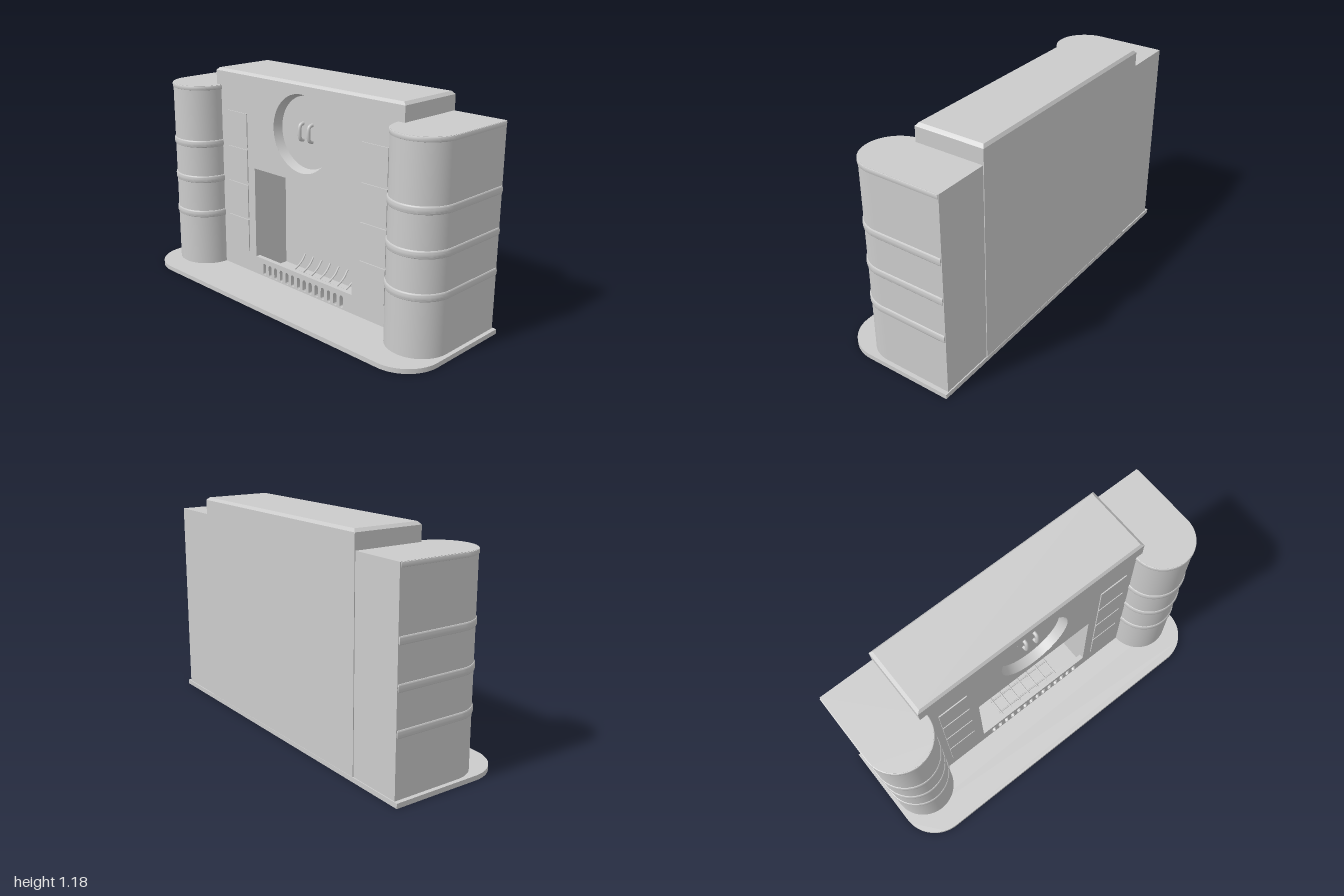
import * as THREE from 'three';
import { toCreasedNormals } from 'three/addons/utils/BufferGeometryUtils.js';

const BACK = -0.338, FRONT = 0.045, CAVITY_BACK = -0.19, PANEL_BACK = 0.018;
const BASE_TOP = 0.025, BODY_TOP = 1.17;

export function createModel() {
  const model = new THREE.Group();
  const material = new THREE.MeshStandardMaterial({ color: 0xcccccc });
  const thin = new THREE.MeshStandardMaterial({ color: 0xcccccc, side: THREE.DoubleSide });

  const add = (name, geometry, x = 0, y = 0, z = 0, parent = model, mat = material) => {
    const mesh = new THREE.Mesh(geometry, mat);
    mesh.name = name;
    mesh.position.set(x, y, z);
    parent.add(mesh);
    return mesh;
  };
  const group = (name) => {
    const g = new THREE.Group();
    g.name = name;
    model.add(g);
    return g;
  };
  const box = (w, h, d) => new THREE.BoxGeometry(w, h, d);
  const extrude = (shape, depth, options = {}) => toCreasedNormals(
    new THREE.ExtrudeGeometry(shape, { depth, bevelEnabled: false, curveSegments: 24, ...options }), 0.5);
  // Extrudes a plan drawn in x and -z upwards
  const extrudeUp = (shape, height, options) => extrude(shape, height, options).rotateX(-Math.PI / 2);
  const rect = (Type, x0, y0, x1, y1) => new Type([[x0, y0], [x1, y0], [x1, y1], [x0, y1]]
    .map(([x, y]) => new THREE.Vector2(x, y)));
  const circle = (y, r) => new THREE.Path().absarc(0, y, r, 0, Math.PI * 2);

  // Hearth slab with rounded front corners
  const slab = new THREE.Shape();
  slab.moveTo(-1, 0.34);
  slab.lineTo(-1, -0.14);
  slab.absarc(-0.8, -0.14, 0.2, Math.PI, Math.PI * 1.5, false);
  slab.absarc(0.8, -0.14, 0.2, Math.PI * 1.5, Math.PI * 2, false);
  slab.lineTo(1, 0.34);
  add('hearthSlab', extrudeUp(slab, BASE_TOP));

  // Body: pierced front panel, firebox walls and solid back
  const bodyOutline = () => rect(THREE.Shape, -0.68, BASE_TOP, 0.68, BODY_TOP);
  const panel = bodyOutline();
  panel.holes.push(rect(THREE.Path, -0.37, 0.13, 0.37, 0.655), circle(0.915, 0.21));
  for (let i = 0; i < 14; i++) {
    const x = -0.3 + i * 0.0461, r = 0.012;
    const slot = new THREE.Path();
    slot.absarc(x, 0.09, r, 0, Math.PI, false);
    slot.absarc(x, 0.044, r, Math.PI, Math.PI * 2, false);
    slot.closePath();
    panel.holes.push(slot);
  }
  add('frontPanel', extrude(panel, FRONT - PANEL_BACK), 0, 0, PANEL_BACK);

  const walls = bodyOutline();
  walls.holes.push(rect(THREE.Path, -0.37, 0.03, 0.37, 0.655), circle(0.915, 0.215));
  add('fireboxWalls', extrude(walls, PANEL_BACK - CAVITY_BACK), 0, 0, CAVITY_BACK);
  add('backWall', box(1.36, BODY_TOP - BASE_TOP, CAVITY_BACK - BACK),
    0, (BODY_TOP + BASE_TOP) / 2, (BACK + CAVITY_BACK) / 2);

  // Mantel top with sloping edges
  const mantel = box(1.36, 0.015, FRONT - BACK);
  const p = mantel.attributes.position;
  for (let i = 0; i < p.count; i++) {
    if (p.getY(i) > 0) {
      p.setX(i, p.getX(i) * 0.975);
      p.setZ(i, p.getZ(i) * 0.94);
    }
  }
  mantel.computeVertexNormals();
  add('mantelTop', mantel, 0, BODY_TOP + 0.0075, (FRONT + BACK) / 2);

  // Round niche with a tapered rim and two small handles
  const niche = new THREE.LatheGeometry(
    [[0, -0.005], [0.195, -0.005], [0.21, 0.045]].map(([r, y]) => new THREE.Vector2(r, y)), 64);
  add('roundNiche', toCreasedNormals(niche.rotateX(Math.PI / 2), 0.5), 0, 0.915, 0, model, thin);
  for (const x of [-0.033, 0.033]) {
    const path = new THREE.CatmullRomCurve3([[-0.045, -0.008], [-0.038, 0.016], [0, 0.024],
      [0.038, 0.016], [0.045, -0.008]].map(([y, z]) => new THREE.Vector3(0, y, z)));
    add('nicheHandle', new THREE.TubeGeometry(path, 20, 0.01, 10), x, 0.917, 0);
  }

  // Rounded pillars with raised bands, and stacked panels beside the opening
  const pillarPlan = (back) => {
    const s = new THREE.Shape();
    s.moveTo(-0.168, -back);
    s.lineTo(-0.168, -0.045);
    s.absarc(0, -0.045, 0.168, Math.PI, Math.PI * 2, false);
    s.lineTo(0.168, -back);
    return s;
  };
  const pillarGeometry = extrudeUp(pillarPlan(-0.334), 1.09 - BASE_TOP);
  const bandGeometry = extrudeUp(pillarPlan(-0.325), 0.012,
    { bevelEnabled: true, bevelSize: 0.006, bevelThickness: 0.014, bevelSegments: 4 });
  const capGeometry = extrudeUp(pillarPlan(-0.325), 0.016,
    { bevelEnabled: true, bevelSize: 0.004, bevelThickness: 0.004, bevelSegments: 2 });
  for (const side of [-1, 1]) {
    const pillar = group(side > 0 ? 'leftPillar' : 'rightPillar');
    add('pillarShaft', pillarGeometry, side * 0.81, BASE_TOP, 0, pillar);
    for (const y of [0.335, 0.545, 0.755]) add('pillarBand', bandGeometry, side * 0.81, y - 0.006, 0, pillar);
    add('pillarCapBand', capGeometry, side * 0.81, 1.069, 0, pillar);
    for (let i = 0; i < 4; i++) {
      add('sidePanel', box(0.168, 0.192, 0.012), side * 0.509, 0.242 + i * 0.206, 0.045);
    }
  }

  // Fire grate: bars curving up towards the back, on cross rails and legs
  const grate = group('fireGrate');
  const barPath = new THREE.CatmullRomCurve3([[0.055, 0.0], [0.05, -0.04], [0.06, -0.1],
    [0.088, -0.15], [0.128, -0.183]].map(([y, z]) => new THREE.Vector3(0, y, z)));
  const barGeometry = new THREE.TubeGeometry(barPath, 24, 0.005, 8);
  for (let i = 0; i < 7; i++) add('grateBar', barGeometry, -0.2 + i * 0.0667, 0, 0, grate, thin);
  for (const [y, z] of [[0.048, -0.02], [0.052, -0.1]]) {
    add('grateRail', new THREE.CylinderGeometry(0.005, 0.005, 0.42, 8).rotateZ(Math.PI / 2), 0, y, z, grate);
    for (const x of [-0.067, 0.067]) add('grateLeg', box(0.01, y - 0.03, 0.01), x, (y + 0.03) / 2, z, grate);
  }
  return model;
}
